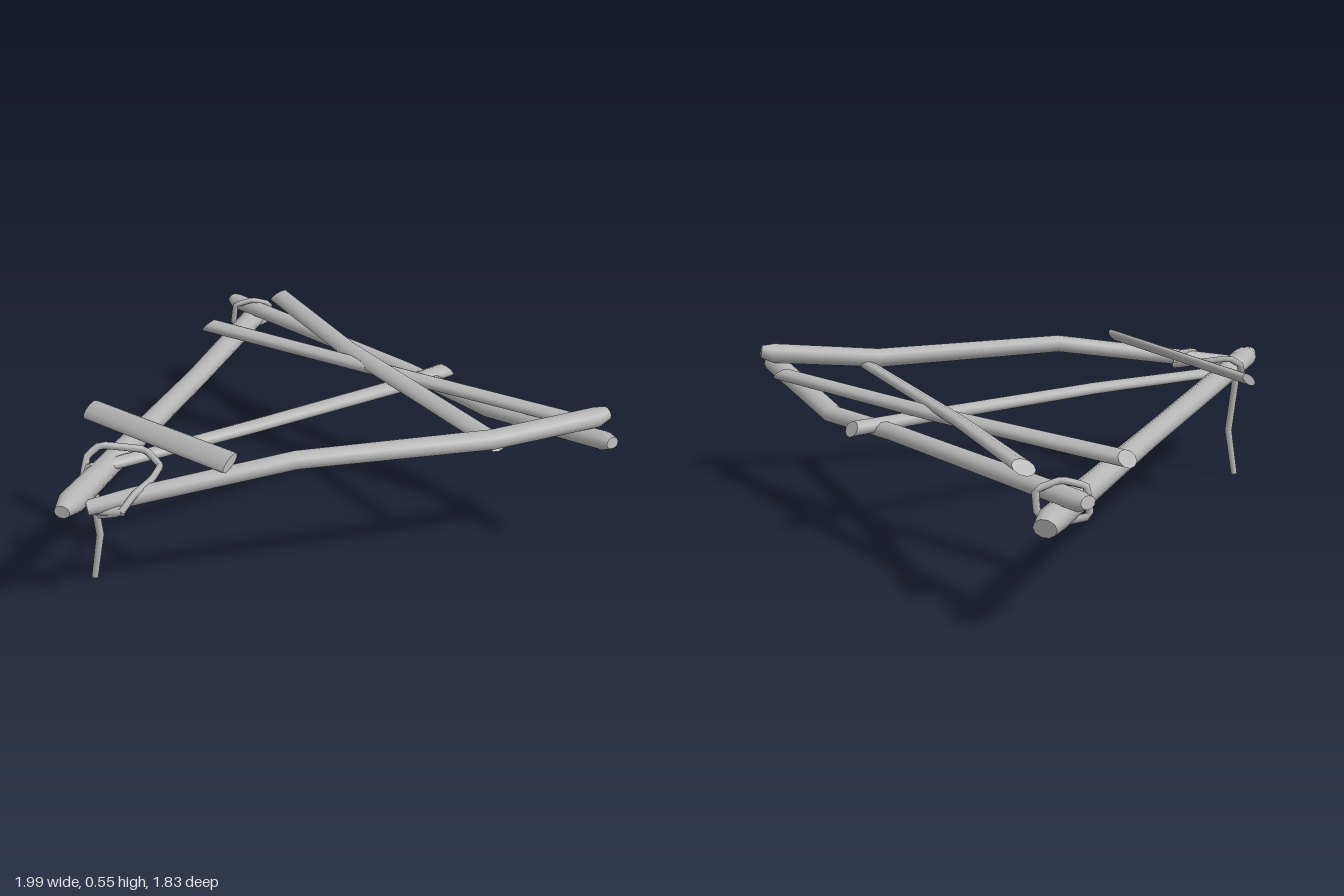
import * as THREE from 'three';

const SIDES = 10;

// Lofted stick: stations are [x, y, z, radius]. cut slants the ends,
// flat thins the section and roll turns it about the axis.
function stickGeometry(stations, { cut = 0, flat = 1, roll = 0 } = {}) {
  const pts = stations.map(s => new THREE.Vector3(s[0], s[1], s[2]));
  const axis = pts[pts.length - 1].clone().sub(pts[0]).normalize();
  const ref = Math.abs(axis.y) > 0.8 ? new THREE.Vector3(0, 0, 1) : new THREE.Vector3(0, 1, 0);
  const pos = [], idx = [], rings = [];
  pts.forEach((p, i) => {
    const t = pts[Math.min(i + 1, pts.length - 1)].clone().sub(pts[Math.max(i - 1, 0)]).normalize();
    const s = ref.clone().cross(t).normalize().applyAxisAngle(t, roll);
    const u = t.clone().cross(s);
    const r = stations[i][3];
    const slant = i === 0 ? cut : i === pts.length - 1 ? -cut : 0;
    const ring = [];
    for (let j = 0; j < SIDES; j++) {
      const a = (j / SIDES) * Math.PI * 2;
      ring.push(p.clone().addScaledVector(s, r * Math.cos(a))
        .addScaledVector(u, r * flat * Math.sin(a))
        .addScaledVector(t, slant * Math.sin(a)));
    }
    rings.push(ring);
    ring.forEach(v => pos.push(v.x, v.y, v.z));
  });
  for (let i = 0; i < rings.length - 1; i++) {
    for (let j = 0; j < SIDES; j++) {
      const k = (j + 1) % SIDES, a = i * SIDES, b = a + SIDES;
      idx.push(a + j, a + k, b + k, a + j, b + k, b + j);
    }
  }
  // Separate cap vertices keep the sawn ends crisp
  [0, rings.length - 1].forEach((ri, end) => {
    const base = pos.length / 3;
    [pts[ri], ...rings[ri]].forEach(v => pos.push(v.x, v.y, v.z));
    for (let j = 0; j < SIDES; j++) {
      const a = base + 1 + j, b = base + 1 + (j + 1) % SIDES;
      if (end) idx.push(base, a, b); else idx.push(base, b, a);
    }
  });
  const g = new THREE.BufferGeometry();
  g.setAttribute('position', new THREE.Float32BufferAttribute(pos, 3));
  g.setIndex(idx);
  g.computeVertexNormals();
  return g;
}

// Closed, slightly kinked cord through a few points
function cordGeometry(points, radius) {
  const curve = new THREE.CatmullRomCurve3(points.map(p => new THREE.Vector3(...p)), true, 'catmullrom', 0.1);
  return new THREE.TubeGeometry(curve, points.length * 4, radius, 6, true);
}

export function createModel() {
  const group = new THREE.Group();
  const wood = new THREE.MeshStandardMaterial({ color: 0xb6b6b6 });
  wood.name = 'grey wood';
  const add = (name, geometry) => {
    const m = new THREE.Mesh(geometry, wood);
    m.name = name;
    group.add(m);
  };

  // Three main poles of the triangle, with worn tapered ends
  add('rightSidePole', stickGeometry([
    [-0.945, 0.37, -0.815, 0.038], [-0.91, 0.378, -0.765, 0.049], [-0.5, 0.393, -0.12, 0.043],
    [-0.06, 0.417, 0.6, 0.046], [0.09, 0.427, 0.84, 0.049], [0.13, 0.43, 0.9, 0.028]], { flat: 0.8 }));
  add('leftSidePole', stickGeometry([
    [0.895, 0.53, -0.885, 0.027], [0.88, 0.52, -0.84, 0.043], [0.72, 0.483, -0.48, 0.042],
    [0.44, 0.505, 0.17, 0.038], [0.18, 0.425, 0.66, 0.036], [0.12, 0.405, 0.8, 0.03]], { flat: 0.85 }));
  add('backPole', stickGeometry([
    [-0.995, 0.44, -0.7, 0.027], [-0.96, 0.433, -0.702, 0.04], [0, 0.413, -0.79, 0.037],
    [0.42, 0.384, -0.82, 0.04], [0.95, 0.465, -0.81, 0.043], [0.99, 0.473, -0.805, 0.027]], { flat: 0.77 }));

  // Middle spar from back to front
  add('middleSpar', stickGeometry([
    [0.107, 0.42, -0.9, 0.041], [0.1, 0.42, -0.66, 0.039], [0.03, 0.43, 0.06, 0.035],
    [-0.06, 0.43, 0.68, 0.031]], { cut: 0.015, flat: 0.6 }));

  // Crossed braces at the back, each a thin split stick
  add('lowerBrace', stickGeometry([
    [-0.78, 0.457, -0.4, 0.042], [0, 0.455, -0.64, 0.039], [0.77, 0.465, -0.86, 0.037]],
    { cut: 0.02, flat: 0.6 }));
  add('upperBrace', stickGeometry([
    [-0.775, 0.5, -0.775, 0.041], [-0.2, 0.475, -0.65, 0.038], [0.72, 0.455, -0.52, 0.037]],
    { cut: 0.015, flat: 0.55, roll: 0.35 }));

  // Short split bar across the front, tilted forward
  add('frontBar', stickGeometry([
    [-0.36, 0.485, 0.465, 0.042], [0.35, 0.527, 0.38, 0.042]], { flat: 0.4, roll: 0.6 }));

  // Bent twig hanging down, and a small peg at the tip
  add('hangingTwig', stickGeometry([
    [-0.055, 0.43, 0.675, 0.014], [-0.037, 0.18, 0.655, 0.014], [-0.06, 0.002, 0.672, 0.012]]));
  add('tipPeg', stickGeometry([
    [0.13, 0.385, 0.77, 0.015], [0.21, 0.405, 0.715, 0.026]], { flat: 0.6 }));

  // Cord bindings
  add('frontCord', cordGeometry([
    [-0.1, 0.46, 0.65], [-0.09, 0.49, 0.6], [0, 0.47, 0.48], [0.09, 0.445, 0.48],
    [0.18, 0.46, 0.58], [0.21, 0.45, 0.67], [0.215, 0.405, 0.73], [0.13, 0.37, 0.76],
    [0.04, 0.385, 0.71], [-0.07, 0.395, 0.69]], 0.013));
  add('cornerCord', cordGeometry([
    [-0.9, 0.45, -0.64], [-0.86, 0.47, -0.7], [-0.83, 0.445, -0.77], [-0.84, 0.37, -0.77],
    [-0.87, 0.345, -0.7], [-0.91, 0.36, -0.635]], 0.012));

  return group;
}
